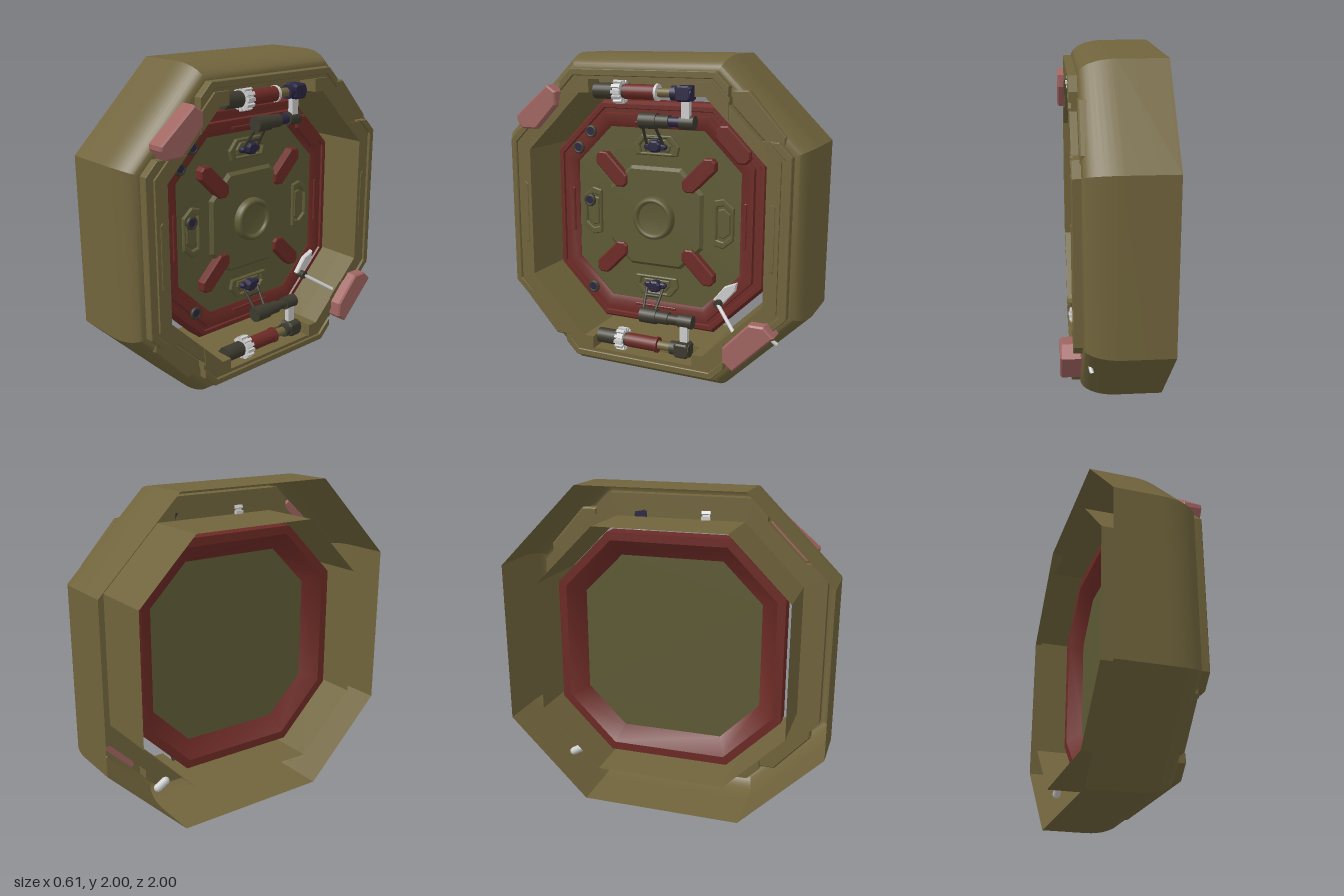
import * as THREE from 'three';
import { toCreasedNormals } from 'three/addons/utils/BufferGeometryUtils.js';

const mat = (color) => new THREE.MeshStandardMaterial({ color, side: THREE.DoubleSide });
const M = {
  olive: mat(0x70643c), panel: mat(0x5e5a36), red: mat(0x6c2a25), pink: mat(0xa06460),
  navy: mat(0x2a2642), dark: mat(0x3c3a2e), grey: mat(0xcccccc),
};

// Octagon of apothem r as (z, y) corners; all rings are parallel offsets of the outer one
function oct(r) {
  const k = 0.086 + 0.414 * r;
  return [[-k, r], [k, r], [r, k], [r, -k], [k, -r], [-k, -r], [-r, -k], [-r, k]];
}

export function createModel() {
  const model = new THREE.Group();
  const body = new THREE.Group();
  body.name = 'hatch';
  body.position.y = 1; // parts below are placed about the hatch centre
  model.add(body);
  const door = new THREE.Group();
  door.name = 'door';
  door.position.x = -0.035;
  body.add(door);

  function add(name, geo, material, parent = body) {
    const mesh = new THREE.Mesh(geo, material);
    mesh.name = name;
    parent.add(mesh);
  }

  // Octagonal sweep of a profile of [x, apothem] points
  function octLoft(profile) {
    const rings = profile.map(([x, r]) => oct(r).map(([z, y]) => [x, y, z]));
    const pos = [];
    for (let j = 0; j < rings.length - 1; j++) {
      for (let i = 0; i < 8; i++) {
        const n = (i + 1) % 8;
        const a = rings[j][i], b = rings[j][n], c = rings[j + 1][n], d = rings[j + 1][i];
        pos.push(...a, ...b, ...c, ...a, ...c, ...d);
      }
    }
    const g = new THREE.BufferGeometry();
    g.setAttribute('position', new THREE.Float32BufferAttribute(pos, 3));
    return toCreasedNormals(g, 0.5);
  }

  // Flat plate with a (z, y) outline, from x0 to x1, with an optional chamfer and hole
  function plate(pts, x0, x1, bevel = 0, hole = null) {
    const v = (p) => p.map(([z, y]) => new THREE.Vector2(-z, y));
    const shape = new THREE.Shape(v(pts));
    if (hole) shape.holes.push(new THREE.Path(v(hole)));
    const g = new THREE.ExtrudeGeometry(shape, {
      depth: x1 - x0 - 2 * bevel, bevelEnabled: bevel > 0, bevelThickness: bevel,
      bevelSize: bevel, bevelOffset: -bevel, bevelSegments: 1,
    });
    return g.translate(0, 0, x0 + bevel).rotateY(Math.PI / 2);
  }

  // Box-like plate with cut corners, centred at (z, y) and turned by angle
  function cutBox(z, y, w, h, cut, x0, x1, bevel = 0, angle = 0) {
    const a = w / 2, b = h / 2, c = Math.cos(angle), s = Math.sin(angle);
    const pts = [[-a + cut, b], [a - cut, b], [a, b - cut], [a, cut - b], [a - cut, -b], [cut - a, -b], [-a, cut - b], [-a, b - cut]];
    return plate(pts.map(([p, q]) => [z + p * c - q * s, y + p * s + q * c]), x0, x1, bevel);
  }

  // Cylinder lying along z
  function barrel(r, z0, z1, x, y) {
    return new THREE.CylinderGeometry(r, r, z1 - z0, 20)
      .rotateX(Math.PI / 2).translate(x, y, (z0 + z1) / 2);
  }

  function rod(a, b, r) {
    const curve = new THREE.LineCurve3(new THREE.Vector3(...a), new THREE.Vector3(...b));
    return new THREE.TubeGeometry(curve, 1, r, 10);
  }

  const turn = (pts, n) => {
    for (let i = 0; i < n; i++) pts = pts.map(([z, y]) => [y, -z]);
    return pts;
  };

  // Outer shell, open at the back, rounded towards the front, with the inner tunnel
  const shell = [[-0.31, 1]];
  for (let i = 0; i <= 10; i++) {
    const t = (i / 10) * Math.PI / 2;
    shell.push([-0.03 + 0.21 * Math.sin(t), 0.91 + 0.09 * Math.cos(t)]);
  }
  shell.push([0.18, 0.87], [0.1, 0.87], [0.1, 0.77], [-0.31, 0.77]);
  add('outerShell', octLoft(shell), M.olive);

  // Front plate, notched on its diagonals, with hinge pockets at top and bottom
  const corner = [[0.463, 0.91], [0.54, 0.833], [0.54, 0.73], [0.73, 0.54], [0.833, 0.54], [0.91, 0.463]];
  const notched = [0, 1, 2, 3].flatMap((n) => turn(corner, n));
  const half = [[-0.405, 0.77], [-0.34, 0.77], [-0.34, 0.85], [0.34, 0.85], [0.34, 0.77], [0.405, 0.77], [0.77, 0.405], [0.77, -0.405]];
  add('frontPlate', plate(notched, 0.1, 0.215, 0, [...half, ...turn(half, 2)]), M.olive);
  const mirror = (pts) => pts.map(([z, y]) => [-z, y]);
  for (let n = 0; n < 4; n++) {
    const outer = [[-0.54, 0.833], [-0.463, 0.91], [0.463, 0.91], [0.54, 0.833], [0.54, 0.776], [0.446, 0.87], [-0.446, 0.87], [-0.54, 0.776]];
    const diagonal = [[0.54, 0.73], [0.73, 0.54], [0.73, 0.445], [0.54, 0.635]];
    // the inner strips stop at the pockets above and below
    const gap = n % 2 ? 0 : 0.34;
    const inner = [[gap, 0.85], [0.438, 0.85], [0.54, 0.748], [0.54, 0.635], [0.405, 0.77], [gap, 0.77]];
    add('rimOuterStrip', plate(turn(outer, n), 0.21, 0.23, 0.004), M.olive);
    add('rimInnerStrip', plate(turn(inner, n), 0.21, 0.23), M.olive);
    add('rimInnerStrip', plate(turn(mirror(inner), n), 0.21, 0.23), M.olive);
    add('rimDiagonalStrip', plate(turn(diagonal, n), 0.21, 0.225), M.olive);
  }
  for (const s of [1, -1]) add('rimSlot', cutBox(0.81 * s, 0, 0.035, 0.4, 0.015, 0.222, 0.233, 0.004), M.olive);

  // Latch blocks and empty latch seats on the diagonals
  const latch = [[0.834, 0.594], [0.8, 0.54], [0.695, 0.54], [0.55, 0.69], [0.55, 0.77], [0.61, 0.81], [0.834, 0.62]];
  add('upperLatch', plate(latch, 0.155, 0.27, 0.01), M.pink);
  const lower = [[-0.556, -0.663], [-0.556, -0.754], [-0.62, -0.802], [-0.861, -0.556], [-0.8, -0.497], [-0.71, -0.497]];
  add('lowerLatch', plate(lower, 0.18, 0.3, 0.01), M.pink);
  const seat = [[-0.545, 0.81], [-0.64, 0.81], [-0.86, 0.567], [-0.855, 0.503], [-0.77, 0.503], [-0.545, 0.727]];
  add('upperLatchSeat', plate(seat, 0.1, 0.185, 0.008), M.olive);
  add('lowerLatchSeat', plate(turn(seat, 2), 0.1, 0.185, 0.008), M.olive);

  // Door: red ring around an olive panel
  add('doorRing', octLoft([[-0.1, 0.71], [0.01, 0.71], [0.04, 0.69], [0.04, 0.665], [0.028, 0.66], [0.028, 0.635],
    [0.05, 0.63], [0.05, 0.58], [0.035, 0.55], [-0.02, 0.56], [-0.1, 0.66], [-0.1, 0.71]]), M.red, door);
  add('doorPanel', plate(oct(0.56), -0.02, 0.03), M.panel, door);
  const raised = [[-0.17, 0.317], [0.17, 0.317], [0.317, 0.17], [0.317, -0.17], [0.17, -0.317], [-0.17, -0.317], [-0.317, -0.17], [-0.317, 0.17]];
  add('doorRaisedPlate', plate(raised, 0.025, 0.065, 0.02), M.panel, door);
  const boss = [[0, 0.085], [0.095, 0.085], [0.1, 0.1], [0.108, 0.11], [0.12, 0.11], [0.132, 0.1], [0.136, 0.06]]
    .map(([r, h]) => new THREE.Vector2(r, h)).reverse();
  add('centreBoss', new THREE.LatheGeometry(boss, 40).rotateZ(-Math.PI / 2), M.panel, door);

  // Red pads on the door diagonals
  for (const z of [1, -1]) for (const y of [1, -1]) {
    add('doorPad', cutBox(0.294 * z, 0.285 * y, 0.27, 0.1, 0.035, 0.025, 0.085, 0.008, z * y * Math.PI / 4), M.red, door);
  }

  // Handle wells on the four sides, with framed hexagon rims
  for (let n = 0; n < 4; n++) {
    const well = (f) => turn([[-0.1, 0.065], [0.1, 0.065], [0.155, 0], [0.14, -0.06], [-0.14, -0.06], [-0.155, 0]]
      .map(([z, y]) => [z * f, 0.445 + y * f]), n);
    add('wellRim', plate(well(1), 0.025, 0.05, 0.006, well(0.72)), M.panel, door);
    add('wellInset', plate(well(0.6), 0.025, 0.042, 0.005), M.panel, door);
    const slot = [[-0.14, 0.592], [0.14, 0.592], [0.14, 0.575], [-0.14, 0.575]];
    add('ringSlot', plate(turn(slot, n), 0.04, 0.058, 0.004), M.red, door);
  }

  // Red block on one ring diagonal
  add('ringBlock', cutBox(-0.5, 0.48, 0.27, 0.11, 0.035, 0.02, 0.065, 0.01, Math.PI / 4), M.red, door);

  // Round buttons
  for (const [z, y] of [[0.444, 0.513], [0.535, 0.406], [0.444, -0.508], [0.46, 0.07]]) {
    add('buttonRing', new THREE.TorusGeometry(0.03, 0.011, 10, 24).rotateY(Math.PI / 2).translate(0.062, y, z), M.dark, door);
    add('button', new THREE.CylinderGeometry(0.026, 0.03, 0.04, 20).rotateZ(-Math.PI / 2).translate(0.05, y, z), M.navy, door);
  }

  // Hinge mechanisms, mirrored top and bottom
  for (const s of [1, -1]) {
    const hinge = new THREE.Group();
    hinge.name = s > 0 ? 'upperHinge' : 'lowerHinge';
    body.add(hinge);
    const part = (name, geo, m) => add(name, geo, m, hinge);
    const end = s > 0 ? M.navy : M.dark;
    const x = 0.155, x2 = 0.12, y = 0.78 * s, y2 = 0.61 * s;
    part('pistonCap', barrel(0.048, 0.2, 0.33, x, y), M.dark);
    part('gear', barrel(0.06, 0.145, 0.19, x, y), M.grey);
    for (let i = 0; i < 12; i++) {
      const tooth = new THREE.BoxGeometry(0.02, 0.02, 0.055).translate(0.062, 0, 0);
      part('gearTooth', tooth.rotateZ(i * Math.PI / 6).translate(x, y, 0.167), M.grey);
    }
    part('gearHub', barrel(0.04, 0.12, 0.21, x, y), M.dark);
    part('piston', barrel(0.045, -0.07, 0.13, x, y), M.red);
    part('pistonCollar', barrel(0.05, -0.085, -0.07, x, y), s > 0 ? M.grey : M.red);
    part('pistonRod', barrel(0.027, -0.19, -0.08, x, y), M.olive);
    part('elbow', barrel(0.043, -0.3, -0.17, x, y), end);
    part('elbowBlock', cutBox(-0.25, y, 0.1, 0.09, 0.015, 0.1, 0.2, 0.01), end);
    part('linkArm', new THREE.BoxGeometry(0.035, 0.16, 0.05).translate(0.135, 0.7 * s, -0.25), M.grey);
    part('armEnd', barrel(0.042, -0.3, -0.21, x2, y2), M.dark);
    part('armNeck', barrel(0.03, -0.22, -0.13, x2, y2), s > 0 ? M.navy : M.dark);
    part('armBarrel', barrel(0.04, -0.14, -0.05, x2, y2), M.dark);
    part('armSleeve', barrel(0.048, -0.06, 0.05, x2, y2), M.dark);
    for (const z of [1, -1]) {
      part('strut', rod([x2, 0.585 * s, 0.04 * z], [0.03, 0.46 * s, 0.055 * z], 0.009), M.dark);
    }
    part('strutBar', barrel(0.01, -0.055, 0.055, 0.055, 0.5 * s), M.dark);
    part('strutFoot', cutBox(0, 0.44 * s, 0.15, 0.035, 0.012, -0.01, 0.035, 0.008), M.navy);
    part('strutBlock', cutBox(0, 0.445 * s, 0.08, 0.07, 0.02, -0.01, 0.055, 0.01), M.navy);
  }

  // Release lever and its rod running under the lower latch
  const lever = [[-0.4, -0.47], [-0.47, -0.38], [-0.55, -0.345], [-0.54, -0.4], [-0.45, -0.51]];
  add('releaseLever', plate(lever, 0.05, 0.085, 0.006), M.grey, door);
  add('leverPivot', new THREE.CylinderGeometry(0.025, 0.025, 0.06, 16).rotateZ(Math.PI / 2).translate(0.09, -0.485, -0.44), M.dark, door);
  add('releaseRod', rod([0.07, -0.485, -0.44], [0.21, -0.6, -0.6], 0.012), M.grey);
  add('rodBolt', rod([0.14, -0.62, -0.79], [0.13, -0.655, -0.835], 0.012), M.grey);
  add('cavityPin', new THREE.CapsuleGeometry(0.025, 0.06, 4, 10).rotateX(Math.PI / 3).translate(-0.2, -0.72, -0.6), M.grey);

  return model;
}
